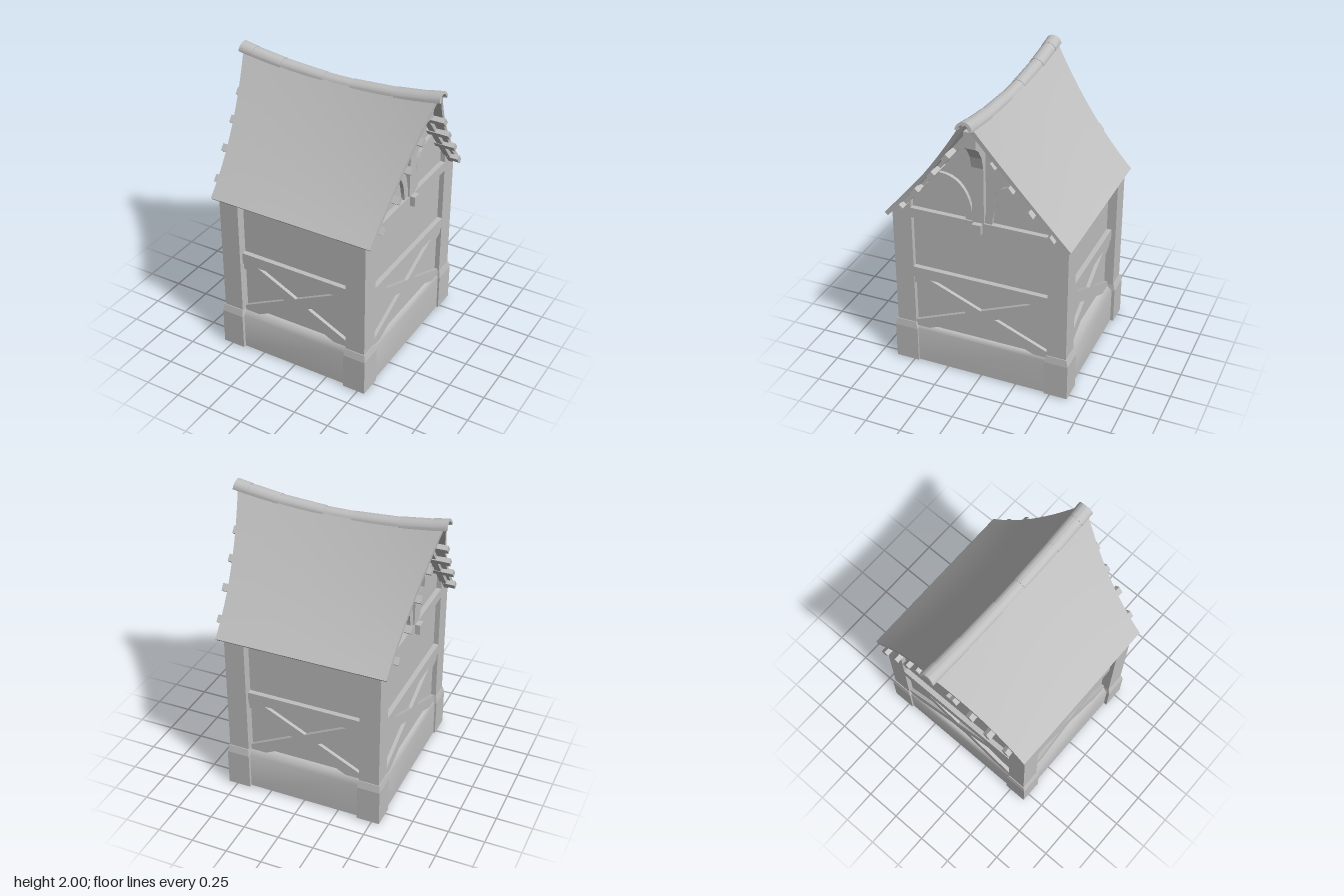
import * as THREE from 'three';
import { toCreasedNormals } from 'three/addons/utils/BufferGeometryUtils.js';

const stone = new THREE.MeshStandardMaterial({ color: 0xbfbfbf, side: THREE.DoubleSide });
stone.name = 'plain grey';

// Roof surface: ridge sags in the middle, slopes sag slightly
const EAVE_Z = 0.64, EAVE_Y = 1.175;
const ridgeY = (x) => 1.96 + 0.065 * (x / 0.72) ** 2;
const roofY = (x, z) => {
  const v = Math.abs(z) / EAVE_Z;
  return ridgeY(x) + (EAVE_Y - ridgeY(x)) * v - 0.15 * v * (1 - v);
};
const roofHalfWidth = (v) => 0.59 + 0.13 * (1 - v) ** 2;

function add(parent, name, geometry) {
  const mesh = new THREE.Mesh(geometry, stone);
  mesh.name = name;
  parent.add(mesh);
  return mesh;
}

// Box given by its min and max on each axis
function block(parent, name, x0, x1, y0, y1, z0, z1) {
  const m = add(parent, name, new THREE.BoxGeometry(x1 - x0, y1 - y0, z1 - z0));
  m.position.set((x0 + x1) / 2, (y0 + y1) / 2, (z0 + z1) / 2);
}

// Flat outline in x, y pushed along z between z0 and z1
function plate(parent, name, points, z0, z1) {
  const shape = points instanceof THREE.Shape ? points
    : new THREE.Shape(points.map((p) => new THREE.Vector2(p[0], p[1])));
  const g = new THREE.ExtrudeGeometry(shape, { depth: z1 - z0, bevelEnabled: false, curveSegments: 10 });
  g.translate(0, 0, z0);
  add(parent, name, g);
}

// Box without a bottom, its top scaled by tx, tz
function hollowBox(w, h, d, tx = 1, tz = 1) {
  const g = new THREE.BoxGeometry(w, h, d), p = g.attributes.position;
  g.setIndex([...g.index.array].filter((_, i) => i < 18 || i >= 24));
  for (let i = 0; i < p.count; i++)
    if (p.getY(i) > 0) { p.setX(i, p.getX(i) * tx); p.setZ(i, p.getZ(i) * tz); }
  g.computeVertexNormals();
  return g;
}

// One roof slope as a slab, open under the ridge caps
function roofSlope() {
  const nu = 16, nv = 12, v0 = 0.047, pos = [], idx = [];
  for (let layer = 0; layer < 2; layer++)
    for (let j = 0; j <= nv; j++)
      for (let i = 0; i <= nu; i++) {
        const v = v0 + (1 - v0) * j / nv, x = (i / nu * 2 - 1) * roofHalfWidth(v), z = v * EAVE_Z;
        pos.push(x, roofY(x, z) - layer * 0.02, z - layer * 0.02);
      }
  const at = (l, j, i) => (l * (nv + 1) + j) * (nu + 1) + i;
  const quad = (a, b, c, d) => idx.push(a, b, c, a, c, d);
  for (let j = 0; j < nv; j++) {
    for (let i = 0; i < nu; i++) {
      quad(at(0, j, i), at(0, j + 1, i), at(0, j + 1, i + 1), at(0, j, i + 1));
      quad(at(1, j, i), at(1, j, i + 1), at(1, j + 1, i + 1), at(1, j + 1, i));
    }
    quad(at(0, j, 0), at(1, j, 0), at(1, j + 1, 0), at(0, j + 1, 0));
    quad(at(0, j, nu), at(0, j + 1, nu), at(1, j + 1, nu), at(1, j, nu));
  }
  for (let i = 0; i < nu; i++)
    quad(at(0, nv, i), at(1, nv, i), at(1, nv, i + 1), at(0, nv, i + 1));
  const g = new THREE.BufferGeometry();
  g.setAttribute('position', new THREE.Float32BufferAttribute(pos, 3));
  g.setIndex(idx);
  return toCreasedNormals(g, 0.6);
}

// Corner post, its top cut to the roof slope
function postGeometry(cx, cz) {
  const g = new THREE.BoxGeometry(0.14, 1, 0.135);
  g.translate(cx, 0, cz);
  const p = g.attributes.position;
  for (let i = 0; i < p.count; i++)
    p.setY(i, p.getY(i) > 0 ? roofY(p.getX(i), p.getZ(i)) - 0.018 : 0.25);
  g.computeVertexNormals();
  return g;
}

// Wall bay facing +z: panel face at distance d, half width w, sill face at distance out
function bay(name, w, d, sillTop, out) {
  const g = new THREE.Group();
  g.name = name;
  const y0 = 0.29, y1 = 0.69, dx = 0.095, dy = 0.045;
  block(g, 'rail', -w, w, y1, 0.77, d - 0.05, d + 0.035);
  for (const s of [1, -1]) {
    const pts = [[-w, y0], [-w + dx, y0], [w, y1 - dy], [w, y1], [w - dx, y1], [-w, y0 + dy]]
      .map(([x, y]) => [s * x, y]);
    plate(g, 'crossBrace', pts, d - 0.05, d + 0.025);
  }
  // Sill: a bent sheet with a soft shoulder
  const profile = [[sillTop, d - 0.05], [sillTop, d + 0.01], [0.27, out], [0.01, out]];
  const sill = new THREE.PlaneGeometry(2 * w + 0.04, 1, 1, 3), p = sill.attributes.position;
  for (let i = 0; i < p.count; i++) {
    const [y, z] = profile[Math.floor(i / 2)];
    p.setY(i, y);
    p.setZ(i, z);
  }
  sill.computeVertexNormals();
  add(g, 'sill', sill);
  return g;
}

// Gable truss facing +z, with the ridge along z
function gable(d) {
  const g = new THREE.Group();
  g.name = 'gable';
  plate(g, 'gableWall', [[-0.5, 0.27], [0.5, 0.27], [0.5, 1.29], [0, 1.9], [-0.5, 1.29]], d - 0.015, d);
  block(g, 'tieBeam', -0.475, 0.475, 1.15, 1.22, d - 0.03, d + 0.035);
  block(g, 'kingPost', -0.04, 0.04, 1.2, 1.93, d - 0.03, d + 0.035);
  block(g, 'beamEnd', -0.03, 0.03, 1.15, 1.22, d, d + 0.07);
  for (const s of [1, -1]) {
    const arch = new THREE.Shape();
    arch.moveTo(s * 0.04, 1.22);
    arch.bezierCurveTo(s * 0.05, 1.4, s * 0.12, 1.52, s * 0.27, 1.52);
    arch.lineTo(s * 0.32, 1.45);
    arch.bezierCurveTo(s * 0.17, 1.48, s * 0.1, 1.38, s * 0.09, 1.22);
    plate(g, 'archBrace', arch, d, d + 0.025);
    // Rafter just under the roof
    plate(g, 'rafter', [[s * 0.01, 1.91], [s * 0.56, 1.225], [s * 0.535, 1.2], [s * 0.01, 1.855]], d + 0.02, d + 0.065);
  }
  return g;
}

export function createModel() {
  const model = new THREE.Group();
  model.name = 'gabledHut';

  // Corner posts and hollow footings
  for (const sx of [1, -1]) for (const sz of [1, -1]) {
    add(model, 'cornerPost', postGeometry(sx * 0.475, sz * 0.5425));
    const x = sx * 0.478, z = sz * 0.545;
    add(model, 'footing', hollowBox(0.16, 0.26, 0.165)).position.set(x, 0.14, z);
    add(model, 'footingShoulder', hollowBox(0.16, 0.05, 0.165, 0.9, 0.85)).position.set(x, 0.295, z);
    add(model, 'footStub', hollowBox(0.07, 0.04, 0.06)).position.set(sx * 0.435, 0.02, sz * 0.49);
  }

  // Front and back walls
  for (const turn of [0, Math.PI]) {
    const wall = bay(turn ? 'backWall' : 'frontWall', 0.405, 0.545, 0.31, 0.605);
    block(wall, 'wallPanel', -0.42, 0.42, 0.27, 1.24, 0.53, 0.545);
    wall.rotation.y = turn;
    model.add(wall);
  }

  // Side walls and gables
  for (const s of [1, -1]) {
    const side = bay(s > 0 ? 'leftWall' : 'rightWall', 0.475, 0.51, 0.295, 0.545);
    side.add(gable(0.51));
    side.rotation.y = s * Math.PI / 2;
    model.add(side);
  }

  // Curved ridge bracket on one gable, short beam end on the other
  plate(model, 'ridgeBracket', [[0.52, 1.58], [0.545, 1.61], [0.565, 1.69], [0.61, 1.76], [0.65, 1.79],
    [0.65, 1.9], [0.52, 1.9]], -0.04, 0.04);
  block(model, 'upperBeamEnd', -0.6, -0.5, 1.52, 1.6, -0.035, 0.035);

  // Roof slopes, with purlin ends beneath them at each gable
  const slope = roofSlope();
  for (const s of [1, -1]) {
    add(model, 'roofSlope', slope).rotation.y = s > 0 ? 0 : Math.PI;
    for (const [z, y, end] of [[0.515, 1.25, 0.63], [0.385, 1.41, 0.655], [0.26, 1.56, 0.668], [0.15, 1.71, 0.685]])
      for (const side of [1, -1]) {
        const start = 0.49;
        const purlin = add(model, 'purlin', new THREE.BoxGeometry(end - start, 0.035, 0.05));
        purlin.position.set(side * (start + end) / 2, y, s * z);
        purlin.rotation.x = s * 0.9;
      }
  }

  // Ridge caps: half-round tiles stepping along the sagging ridge
  const edges = [-0.735, -0.635, -0.415, -0.1, 0.1, 0.415, 0.635, 0.735];
  for (let i = 0; i < 7; i++) {
    const x0 = edges[i], x1 = edges[i + 1], r = 0.046 + 0.003 * Math.abs(i - 3);
    const y0 = ridgeY(x0), y1 = ridgeY(x1);
    const ring = new THREE.Shape();
    ring.absarc(0, 0, r, 0, Math.PI, false);
    ring.absarc(0, 0, r - 0.018, Math.PI, 0, true);
    const len = Math.hypot(x1 - x0, y1 - y0);
    const g = new THREE.ExtrudeGeometry(ring, { depth: len, bevelEnabled: false, curveSegments: 12 });
    g.translate(0, 0, -len / 2).rotateY(Math.PI / 2).rotateZ(Math.atan2(y1 - y0, x1 - x0));
    add(model, 'ridgeCap', toCreasedNormals(g, 0.6)).position.set((x0 + x1) / 2, (y0 + y1) / 2 - 0.079, 0);
  }
  return model;
}
